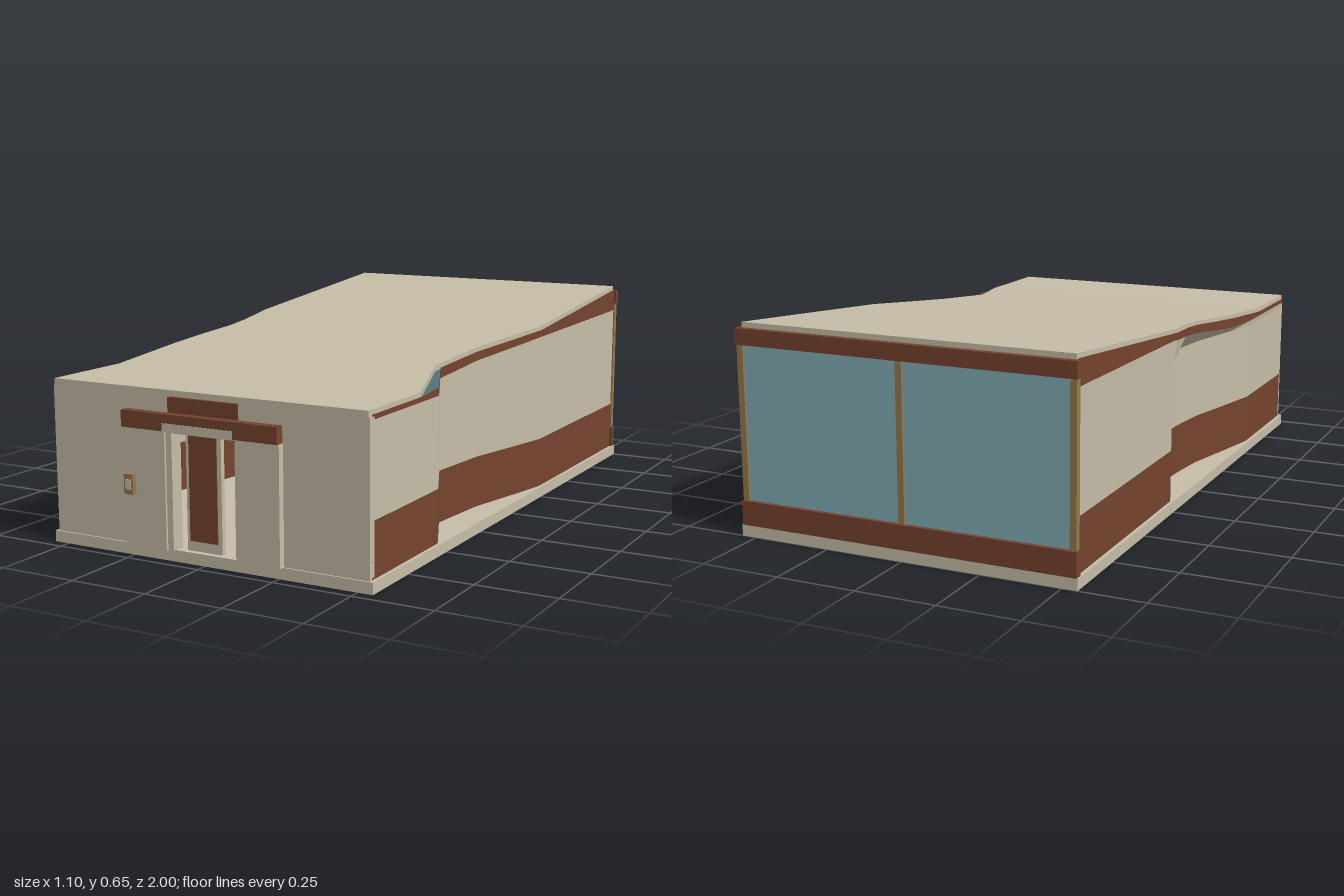
import * as THREE from 'three';

const paint = (name, color) => new THREE.MeshStandardMaterial({ name, color, side: THREE.DoubleSide });

// Linear interpolation through [z, value] points listed from front to back
function along(points, z) {
  if (z >= points[0][0]) return points[0][1];
  for (let i = 1; i < points.length; i++) {
    const [za, a] = points[i - 1], [zb, b] = points[i];
    if (z >= zb) return a + (b - a) * (za - z) / (za - zb);
  }
  return points[points.length - 1][1];
}

// Heights along the building
const roofTop = z => along([[0.65, 0.505], [-0.98, 0.65]], z);
const wallTop = z => along([[0.54, 0.478], [0.33, 0.489], [-0.25, 0.55], [-0.98, 0.56]], z);

// Plan curves: distance of each wall, fascia and roof edge from the centre line
const recess = [[0.95, 0.537], [0.54, 0.537], [0.33, 0.44], [0.1, 0.46], [-0.1, 0.505], [-0.25, 0.537], [-0.98, 0.537]];
const mirroredRecess = recess.slice(1, 6).map(([z, x]) => [0.29 - z, x]).reverse();
const sides = {
  left: {
    sign: 1, wall: recess, fascia: recess,
    roof: [[0.65, 0.532], [0.35, 0.433], [0.1, 0.453], [-0.08, 0.49], [-0.25, 0.531]],
  },
  right: {
    sign: -1, wall: mirroredRecess,
    fascia: [[0.35, 0.54], [0.2, 0.53], [0.05, 0.513], [-0.05, 0.517], [-0.22, 0.54]],
    roof: [[0.35, 0.534], [0.2, 0.525], [0.05, 0.508], [-0.05, 0.512], [-0.22, 0.534]],
  },
};
const stations = [0.95, 0.65, 0.54, 0.42, 0.35, 0.33, 0.2, 0.1, 0.05, -0.05, -0.1, -0.22, -0.25, -0.98];

// Flat-shaded surface joining rows of points; closed joins each row's ends
function loft(rows, closed = false) {
  const out = [];
  for (let i = 0; i + 1 < rows.length; i++) {
    const n = rows[i].length;
    for (let j = 0; j < (closed ? n : n - 1); j++) {
      const k = (j + 1) % n;
      const a = rows[i][j], b = rows[i + 1][j], c = rows[i + 1][k], d = rows[i][k];
      out.push(...a, ...b, ...c, ...a, ...c, ...d);
    }
  }
  if (closed) {
    const [a, b, c, d] = rows[0], [e, f, g, h] = rows[rows.length - 1];
    out.push(...a, ...b, ...c, ...a, ...c, ...d, ...e, ...g, ...f, ...e, ...h, ...g);
  }
  const geo = new THREE.BufferGeometry();
  geo.setAttribute('position', new THREE.Float32BufferAttribute(out, 3));
  geo.computeVertexNormals();
  return geo;
}

export function createModel() {
  const model = new THREE.Group();
  model.name = 'pavilion';
  const cream = paint('cream plaster', 0xc6bda8);
  const brown = paint('brown timber', 0x74432e);
  const blue = paint('blue glass', 0x82adb8);
  const tan = paint('tan metal', 0x96794c);

  const add = (name, geo, mat) => {
    const mesh = new THREE.Mesh(geo, mat);
    mesh.name = name;
    model.add(mesh);
  };
  // Box given by its limits on each axis
  const box = (name, mat, x0, x1, y0, y1, z0, z1) => {
    const geo = new THREE.BoxGeometry(x1 - x0, y1 - y0, z1 - z0);
    geo.translate((x0 + x1) / 2, (y0 + y1) / 2, (z0 + z1) / 2);
    add(name, geo, mat);
  };

  box('baseSlab', cream, -0.548, 0.548, 0, 0.035, -1, 0.965);

  // Curved side walls with brown base band and a fascia under the roof
  for (const [name, { sign, wall, fascia }] of Object.entries(sides)) {
    const strip = (part, mat, lowPath, low, highPath, high) => {
      const rows = stations.map(z => {
        const ends = [
          [sign * along(lowPath, z), low(z), z],
          [sign * along(highPath, z), high(z), z],
        ];
        return sign > 0 ? ends : ends.reverse();
      });
      add(name + part, loft(rows), mat);
    };
    const seam = () => 0.46;
    strip('BaseBand', brown, wall, () => 0.035, wall, () => 0.2);
    strip('Wall', cream, wall, () => 0.2, wall, seam);
    strip('UpperWall', cream, wall, seam, fascia, wallTop);
    strip('Fascia', brown, fascia, wallTop, fascia, z => roofTop(z) - 0.012);
  }

  // Sloping roof slab with scooped edges
  const roofRows = [0.96, ...stations.slice(1)].map(z => {
    const l = -along(sides.right.roof, z), r = along(sides.left.roof, z), y = roofTop(z);
    return [[l, y, z], [r, y, z], [r, y - 0.018, z], [l, y - 0.018, z]];
  });
  add('roof', loft(roofRows.map(row => row.reverse()), true), cream);

  // Front wall around the doorway
  for (const s of [-1, 1]) {
    const a = s * 0.12, b = s * 0.537, c = s * 0.265;
    box('frontWall', cream, Math.min(a, b), Math.max(a, b), 0.035, 0.487, 0.935, 0.96);
    box('entrancePanel', cream, Math.min(a, c), Math.max(a, c), 0.035, 0.39, 0.96, 0.982);
  }
  box('lintel', brown, -0.12, 0.12, 0.415, 0.485, 0.935, 0.963);
  box('entranceHeader', brown, -0.265, 0.265, 0.39, 0.44, 0.963, 0.992);
  box('headerGap', cream, -0.12, 0.12, 0.388, 0.414, 0.985, 0.9935);
  box('doorJamb', cream, -0.12, -0.1, 0.035, 0.415, 0.93, 0.975);

  // Door
  box('door', cream, -0.06, 0.06, 0.04, 0.413, 0.945, 0.961);
  box('doorPanel', brown, -0.049, 0.046, 0.07, 0.38, 0.959, 0.964);
  box('doorPanelInner', brown, -0.049, 0.046, 0.07, 0.38, 0.942, 0.947);

  // Entry panel beside the door
  box('intercom', tan, -0.256, -0.224, 0.192, 0.252, 0.98, 0.998);
  box('intercomScreen', cream, -0.25, -0.23, 0.207, 0.237, 0.996, 1.0);

  // Glazed back
  box('backSill', brown, -0.545, 0.545, 0.035, 0.11, -1, -0.975);
  box('backHeader', brown, -0.545, 0.545, 0.585, 0.634, -1, -0.975);
  box('backGlass', blue, -0.535, 0.535, 0.11, 0.585, -0.987, -0.98);
  for (const x of [-0.532, 0, 0.532]) box('mullion', tan, x - 0.01, x + 0.01, 0.11, 0.585, -0.995, -0.974);

  return model;
}
